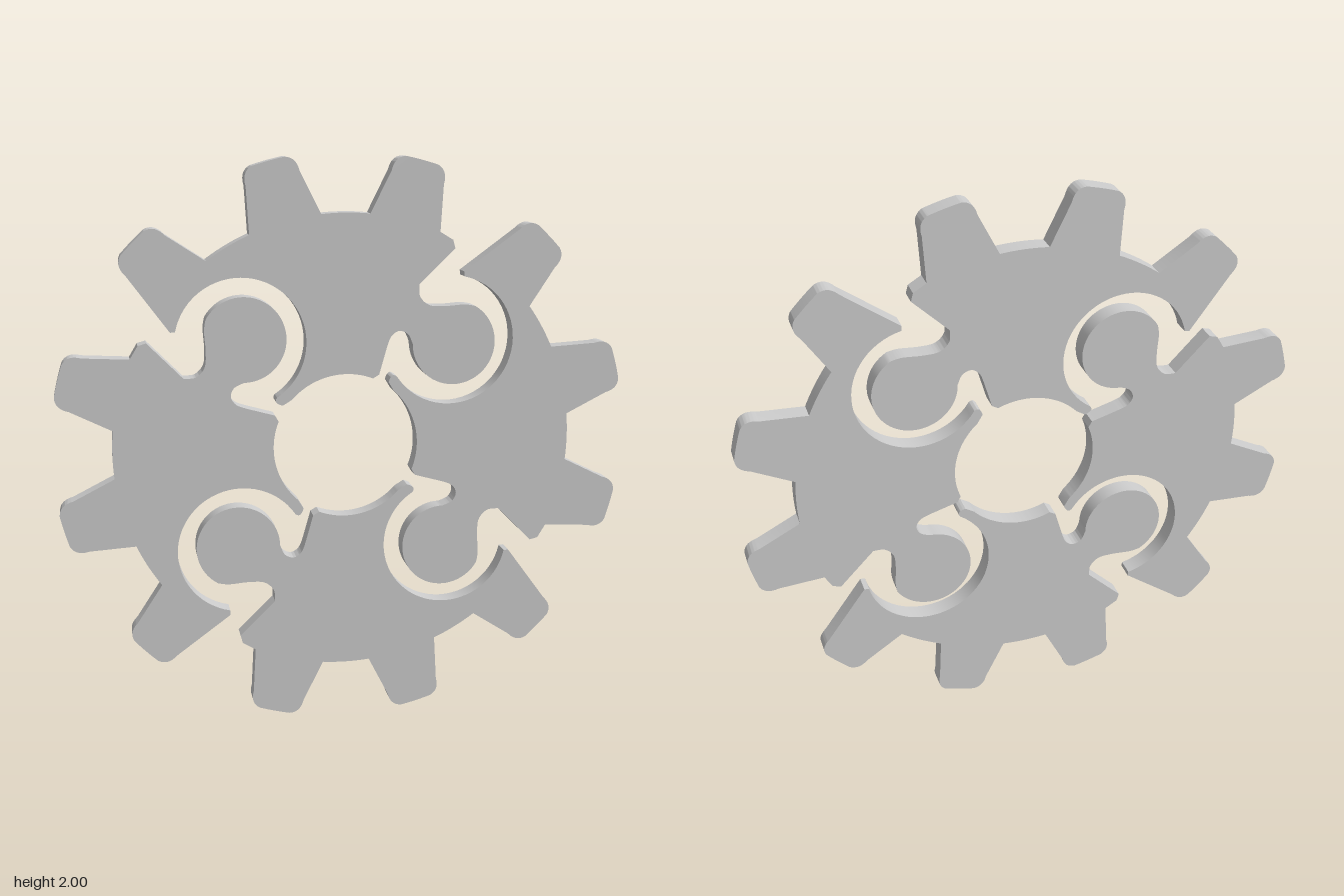
import * as THREE from 'three';
import { toCreasedNormals } from 'three/addons/utils/BufferGeometryUtils.js';

const THICKNESS = 0.065;
const ROOT = 0.812, TIP = 1.02, HOLE = 0.256;
const rad = THREE.MathUtils.degToRad;
const polar = (r, deg) => [r * Math.cos(rad(deg)), r * Math.sin(rad(deg))];

// One tooth with rounded corners, drawn counter-clockwise up to its far shoulder
function addTooth(shape, deg) {
  shape.lineTo(...polar(ROOT, deg - 9));
  shape.lineTo(...polar(0.965, deg - 5.6));
  shape.quadraticCurveTo(...polar(1.012, deg - 5.4), ...polar(TIP, deg - 3.2));
  shape.absarc(0, 0, TIP, rad(deg - 3.2), rad(deg + 3.2), false);
  shape.quadraticCurveTo(...polar(1.012, deg + 5.4), ...polar(0.965, deg + 5.6));
}

const spline = (shape, pts) => shape.splineThru(pts.map(([x, y]) => new THREE.Vector2(x, y)));

// Outline of the top quarter: knob on its right, socket on its left
function quarterShape() {
  const s = new THREE.Shape();
  s.moveTo(0.118, 0.25);

  // notch beside the knob
  s.lineTo(0.145, 0.345);
  spline(s, [[0.16, 0.383], [0.188, 0.402], [0.22, 0.39], [0.237, 0.355]]);

  // knob and its neck
  s.absarc(0.385, 0.355, 0.148, Math.PI, rad(420), false);
  spline(s, [[0.42, 0.489], [0.35, 0.485], [0.295, 0.49], [0.262, 0.52], [0.258, 0.562]]);

  // slanted edge with a small nub at the rim
  s.lineTo(0.384, 0.685);
  s.lineTo(0.376, 0.714);

  // two full teeth with the root arcs after them
  for (const deg of [75, 105]) {
    addTooth(s, deg);
    s.lineTo(...polar(ROOT, deg + 9));
    s.absarc(0, 0, ROOT, rad(deg + 9), rad(deg + 21), false);
  }

  // third tooth, its flank running on down to the socket
  addTooth(s, 135);
  s.lineTo(-0.604, 0.418);

  // socket, arm tip and centre hole
  s.absarc(-0.365, 0.372, 0.227, rad(168), rad(-57), true);
  s.quadraticCurveTo(-0.258, 0.162, -0.222, 0.152);
  s.lineTo(...polar(HOLE, 138));
  s.absarc(0, 0, HOLE, rad(138), rad(68), true);
  s.closePath();
  return s;
}

export function createModel() {
  const model = new THREE.Group();
  model.name = 'puzzleGear';
  const material = new THREE.MeshStandardMaterial({ color: 0xcccccc });

  const extruded = new THREE.ExtrudeGeometry(quarterShape(), {
    depth: THICKNESS, bevelEnabled: false, curveSegments: 20,
  });
  extruded.translate(0, 0, -THICKNESS / 2);
  const geometry = toCreasedNormals(extruded, rad(30));

  // Upright gear turned 45 degrees, made of four equal interlocking pieces
  const gear = new THREE.Group();
  gear.name = 'gear';
  gear.position.y = 1;
  gear.rotation.y = Math.PI / 4;
  ['topPiece', 'leftPiece', 'bottomPiece', 'rightPiece'].forEach((name, i) => {
    // the wheel is seen from its front, so each turn goes counter-clockwise
    const piece = new THREE.Mesh(geometry, material);
    piece.name = ['topPiece', 'rightPiece', 'bottomPiece', 'leftPiece'][i];
    piece.rotation.z = i * Math.PI / 2;
    gear.add(piece);
  });
  model.add(gear);
  return model;
}
